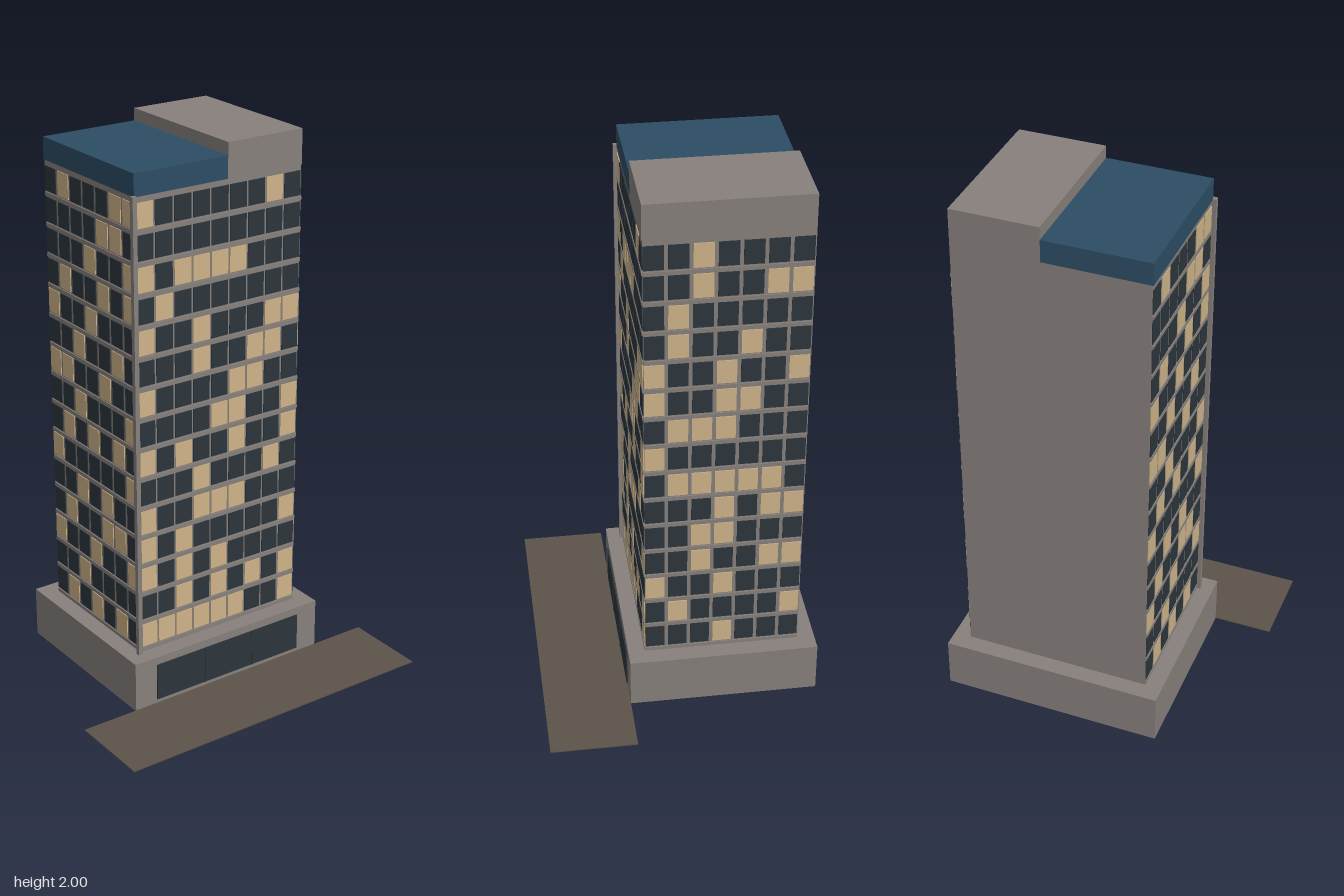
import * as THREE from 'three';

export function createModel() {
  const model = new THREE.Group();
  model.name = 'officeTower';
  const mat = (name, color) => {
    const m = new THREE.MeshStandardMaterial({ color });
    m.name = name;
    return m;
  };
  const concrete = mat('concrete', 0x878079);
  concrete.color.setHex(0x87807c);
  const darkGlass = mat('darkGlass', 0x2c353c);
  const litGlass = mat('litGlass', 0xceb388);
  const blueMetal = mat('blueMetal', 0x2d4d64);
  const paving = mat('paving', 0x5c534a);

  // box given by its min and max corners
  const box = (parent, name, m, x0, x1, y0, y1, z0, z1) => {
    const mesh = new THREE.Mesh(new THREE.BoxGeometry(x1 - x0, y1 - y0, z1 - z0), m);
    mesh.position.set((x0 + x1) / 2, (y0 + y1) / 2, (z0 + z1) / 2);
    mesh.name = name;
    parent.add(mesh);
    return mesh;
  };

  // main masses
  box(model, 'plaza', paving, -0.622, 0.622, 0, 0.004, 0.185, 0.498);
  box(model, 'podium', concrete, -0.405, 0.405, 0, 0.19, -0.5, 0.185);
  box(model, 'towerShaft', concrete, -0.341, 0.341, 0.19, 1.875, -0.437, 0.122);
  box(model, 'cornerPost', concrete, -0.358, -0.341, 0.19, 1.88, 0.12, 0.137);
  box(model, 'roofPlantRoom', concrete, 0.03, 0.341, 1.875, 2, -0.437, 0.125);
  box(model, 'roofPavilion', blueMetal, -0.345, 0.03, 1.875, 1.955, -0.437, 0.125);

  // lobby glazing with slim dividers
  box(model, 'lobbyGlass', darkGlass, -0.315, 0.315, 0.02, 0.16, 0.185, 0.19);
  for (const x of [-0.105, 0.105]) {
    box(model, 'lobbyDivider', darkGlass, x - 0.003, x + 0.003, 0.02, 0.16, 0.19, 0.192);
  }

  // lit columns for each floor, from the top floor down
  const frontLit = ['07', '', '02345', '1', '0378', '367', '056', '458', '0258',
    '37', '0345', '028', '024', '2468', '0123458'];
  const rightLit = ['2', '256', '1', '14', '036', '034', '123', '0', '12345',
    '356', '23', '256', '03', '16', '3'];
  const leftLit = ['156', '45', '36', '146', '03', '25', '014', '26', '135',
    '06', '24', '145', '036', '2', '135'];

  // window wall built facing +z, then turned to its side of the tower
  function facade(name, lit, columns, pitch, width) {
    const group = new THREE.Group();
    group.name = name;
    const half = width / 2;
    lit.forEach((row, i) => {
      const y = 1.81 - i * 0.111;
      for (let c = 0; c < columns; c++) {
        const x = (c - (columns - 1) / 2) * pitch;
        const on = row.includes(String(c));
        box(group, on ? 'litWindow' : 'darkWindow', on ? litGlass : darkGlass,
          x - 0.034, x + 0.034, y - 0.044, y + 0.044, 0, 0.003);
      }
      // ledge under each floor
      box(group, 'floorLedge', concrete, -half, half, y - 0.062, y - 0.049, 0, 0.004);
    });
    model.add(group);
    return group;
  }
  facade('frontFacade', frontLit, 9, 0.076, 0.682).position.set(-0.001, 0, 0.122);
  const right = facade('rightFacade', rightLit, 7, 0.081, 0.556);
  right.rotation.y = Math.PI / 2;
  right.position.set(0.341, 0, -0.156);
  const left = facade('leftFacade', leftLit, 7, 0.081, 0.556);
  left.rotation.y = -Math.PI / 2;
  left.position.set(-0.341, 0, -0.156);

  return model;
}
